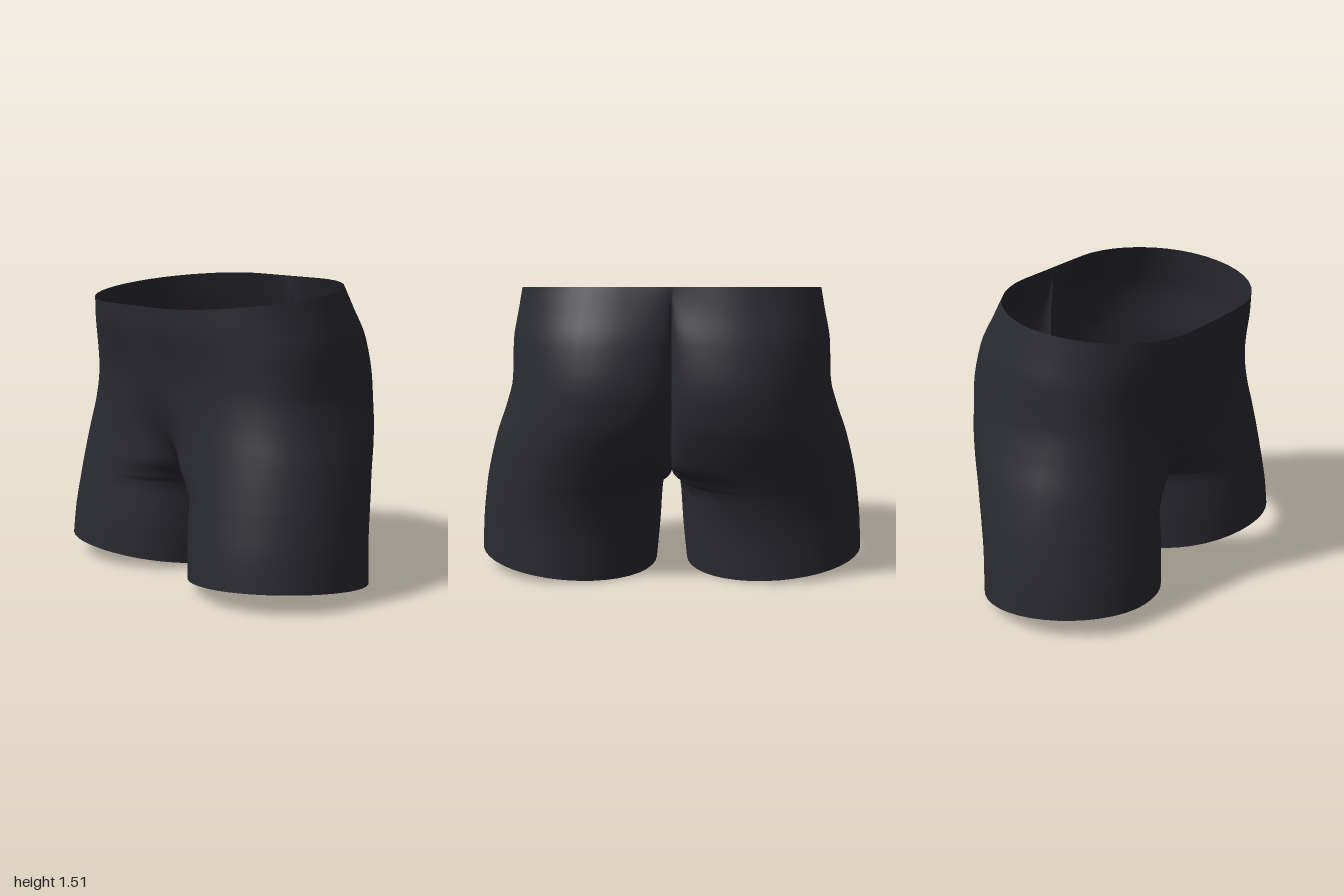
import * as THREE from 'three';
import { mergeVertices, toCreasedNormals } from 'three/addons/utils/BufferGeometryUtils.js';

// Key cross-sections of one half, waist to hem:
// y, innerX, outerX, outerZ, frontX, frontZ, backX, backZ, innerFrontZ, innerBackZ
const KEYS = [
  [1.463, 0, 0.765, 0.06, 0.2, 0.57, 0.25, -0.39, 0.572, -0.39],
  [1.35, 0, 0.785, 0.06, 0.22, 0.553, 0.27, -0.447, 0.557, -0.4],
  [1.2, 0, 0.812, 0.065, 0.26, 0.515, 0.3, -0.525, 0.525, -0.415],
  [1.0, 0, 0.822, 0.085, 0.34, 0.473, 0.32, -0.572, 0.48, -0.415],
  [0.85, 0, 0.86, 0.09, 0.4, 0.463, 0.34, -0.555, 0.435, -0.38],
  [0.7, 0, 0.912, 0.09, 0.46, 0.47, 0.38, -0.505, 0.36, -0.3],
  [0.58, 0, 0.943, 0.085, 0.5, 0.482, 0.42, -0.455, 0.24, -0.19],
  [0.5, 0, 0.96, 0.08, 0.52, 0.492, 0.45, -0.425, 0.05, 0.03],
  [0.46, 0.042, 0.967, 0.08, 0.53, 0.497, 0.465, -0.41, 0.04, 0.04],
  [0.25, 0.06, 0.99, 0.085, 0.56, 0.523, 0.52, -0.362, 0.07, 0.07],
  [0.053, 0.08, 1.0, 0.09, 0.58, 0.535, 0.54, -0.352, 0.09, 0.09],
];
const CROTCH = 0.5;        // height where the legs separate
const STEPS = 4;           // rows between keys
const Q = 10;              // columns per quarter
const ROWS = (KEYS.length - 1) * STEPS;
const COLS = Q * 4;

// Slope of one section value at a key; never overshoots its neighbours
function slope(i, j) {
  const chord = (n) => (KEYS[n + 1][j] - KEYS[n][j]) / (KEYS[n + 1][0] - KEYS[n][0]);
  if (i === 0) return chord(0);
  if (i === KEYS.length - 1) return chord(i - 1);
  const a = chord(i - 1), b = chord(i);
  return a * b > 0 ? 2 * a * b / (a + b) : 0;
}

// Smooth cross-section at a row between the keys
function section(row) {
  const i = Math.min(KEYS.length - 2, Math.floor(row / STEPS));
  const t = row / STEPS - i, k0 = KEYS[i], k1 = KEYS[i + 1], h = k1[0] - k0[0];
  const ease = t * t * (3 - 2 * t);
  return k0.map((v, j) => j === 0 ? v + h * t
    : v + (k1[j] - v) * ease
      + h * t * (1 - t) * ((1 - t) * slope(i, j) - t * slope(i + 1, j)));
}

// Point on one half; column 0 is front inner, the last column is back inner
function halfPoint(row, col) {
  let [height, xi, xo, zo, xF, zF, xB, zB, zf, zb] = section(row);
  if (height < CROTCH + 1e-6) zf = zb = (zf + zb) / 2;

  const quarter = Math.min(3, Math.floor(col / Q));
  const u = col / Q - quarter;
  const a = u * Math.PI / 2, sn = Math.sin(a), cs = Math.cos(a);
  let x, z;
  if (quarter === 0) {
    // front centre panel, smooth above and rounding into the inner thigh below
    const k = THREE.MathUtils.smoothstep(height, CROTCH, 0.85);
    const flat = u * u * (3 - 2 * u);
    x = xi + (xF - xi) * THREE.MathUtils.lerp(1 - cs, u, k);
    z = zf + (zF - zf) * THREE.MathUtils.lerp(sn, flat, k);
  } else if (quarter === 1) {
    x = xF + (xo - xF) * sn;
    z = zo + (zF - zo) * cs;
  } else if (quarter === 2) {
    x = xB + (xo - xB) * cs;
    z = zo + (zB - zo) * sn;
  } else {
    // rounded seat falling into the centre seam
    x = xi + (xB - xi) * (1 - sn);
    z = zb + (zB - zb) * cs;
  }
  // sloping waistline and hems
  const waist = THREE.MathUtils.smoothstep(height, 0.9, 1.463);
  const hem = 1 - THREE.MathUtils.smoothstep(height, 0.053, 0.45);
  const y = height - 0.115 * z * waist
    + hem * (0.038 * (x - 0.54) / 0.46 + 0.035 * (z - 0.09) / 0.445);
  return [x, y, z];
}

function shortsGeometry() {
  const positions = [], indices = [];
  for (const side of [1, -1]) {
    const base = positions.length / 3;
    for (let r = 0; r <= ROWS; r++) {
      for (let c = 0; c <= COLS; c++) {
        const [x, y, z] = halfPoint(r, c);
        positions.push(side * x, y, z);
      }
    }
    for (let r = 0; r < ROWS; r++) {
      for (let c = 0; c < COLS; c++) {
        const a = base + r * (COLS + 1) + c, b = a + COLS + 1;
        if (side > 0) indices.push(a, b, a + 1, b, b + 1, a + 1);
        else indices.push(a, a + 1, b, b, a + 1, b + 1);
      }
    }
  }
  const geometry = new THREE.BufferGeometry();
  geometry.setAttribute('position', new THREE.Float32BufferAttribute(positions, 3));
  geometry.setIndex(indices);
  return toCreasedNormals(mergeVertices(geometry, 1e-4), 0.9);
}

export function createModel() {
  const group = new THREE.Group();
  group.name = 'shorts';
  const fabric = new THREE.MeshStandardMaterial({ color: 0x2a2a32, side: THREE.DoubleSide });
  fabric.name = 'charcoal fabric';
  const mesh = new THREE.Mesh(shortsGeometry(), fabric);
  mesh.name = 'shortsFabric';
  group.add(mesh);
  return group;
}
